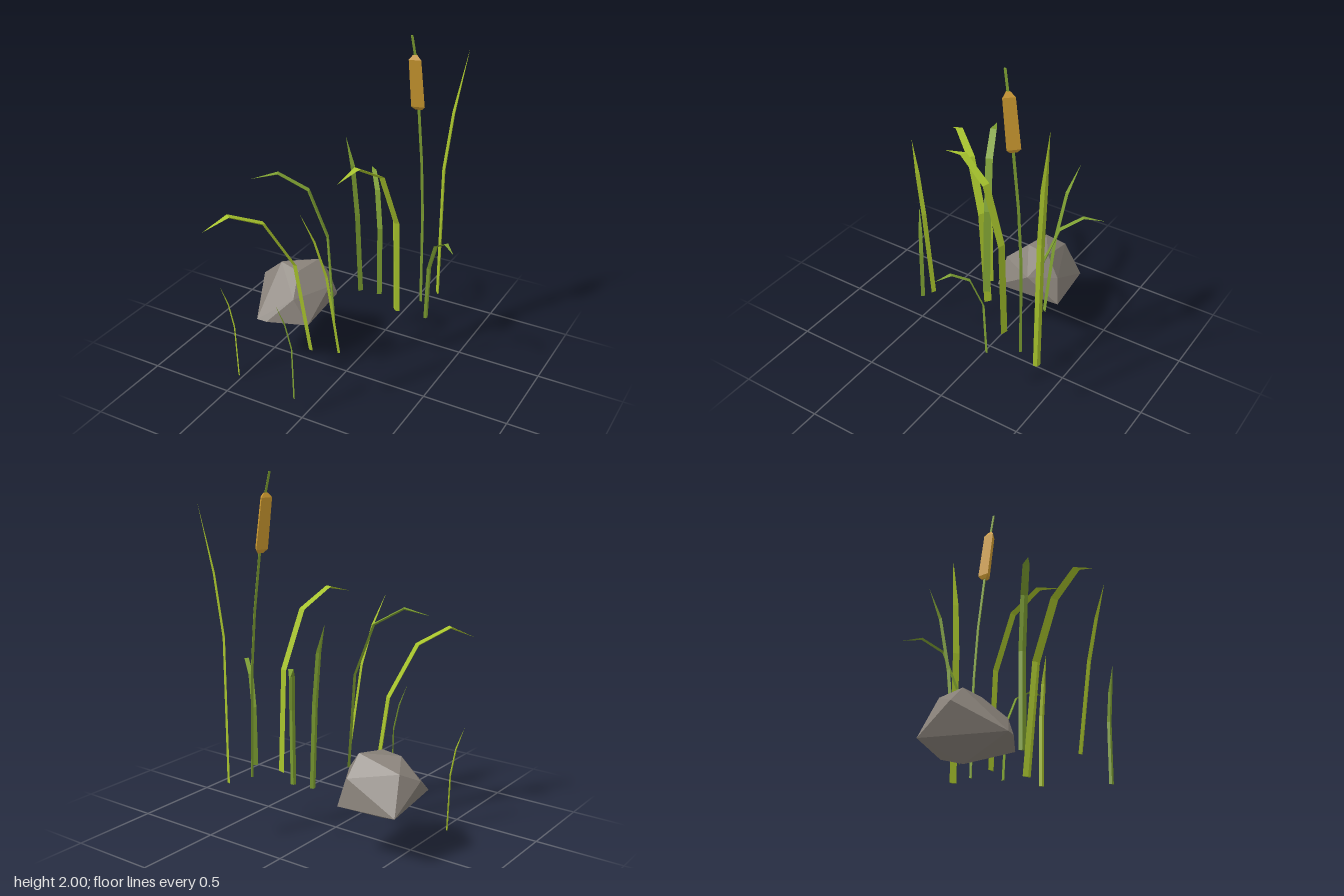
import * as THREE from 'three';
import { ConvexGeometry } from 'three/addons/geometries/ConvexGeometry.js';

const V = (p) => new THREE.Vector3(...p);

function material(name, color) {
  const m = new THREE.MeshStandardMaterial({ color, flatShading: true });
  m.name = name;
  return m;
}

// Skins a closed solid over a list of three-cornered rings
function loft(rings) {
  const pos = [];
  const tri = (...pts) => pts.forEach((p) => pos.push(p.x, p.y, p.z));
  for (let i = 0; i < rings.length - 1; i++) {
    const a = rings[i], b = rings[i + 1];
    for (let k = 0; k < 3; k++) {
      const n = (k + 1) % 3;
      tri(a[k], a[n], b[n]);
      tri(a[k], b[n], b[k]);
    }
  }
  const first = rings[0], last = rings[rings.length - 1];
  tri(first[0], first[2], first[1]);
  tri(last[0], last[1], last[2]);
  const g = new THREE.BufferGeometry();
  g.setAttribute('position', new THREE.Float32BufferAttribute(pos, 3));
  g.computeVertexNormals();
  return g;
}

// Leaf with a flat inner face and a shallow ridge along the outside
function bladeGeometry(width, path) {
  const pts = path.map(V), last = pts.length - 1;
  const lean = pts[last].clone().sub(pts[0]).setY(0).normalize();
  const side = new THREE.Vector3(0, 1, 0).cross(lean);
  return loft(pts.map((p, i) => {
    const t = pts[Math.min(i + 1, last)].clone().sub(pts[Math.max(i - 1, 0)]).normalize();
    const inner = t.cross(side);
    const w = i === last ? 0.0006 : width * (i === last - 1 ? 0.9 : 1);
    return [
      p.clone().addScaledVector(side, w / 2),
      p.clone().addScaledVector(side, -w / 2),
      p.clone().addScaledVector(inner, -w * 0.3),
    ];
  }));
}

// Three-sided rod; each entry is x, y, z, radius
function rodGeometry(path) {
  return loft(path.map(([x, y, z, r]) => [105, 225, 345].map((deg) => {
    const a = THREE.MathUtils.degToRad(deg);
    return new THREE.Vector3(x + r * Math.cos(a), y, z - r * Math.sin(a));
  })));
}

export function createModel() {
  const model = new THREE.Group();
  model.name = 'reedsAndRock';
  const lime = material('limeLeaf', 0xa6c22c);
  const green = material('greenLeaf', 0x7d9f32);
  const brown = material('cattailBrown', 0xcb9830);
  const grey = material('rockGrey', 0x878078);

  const add = (name, geometry, mat) => {
    const mesh = new THREE.Mesh(geometry, mat);
    mesh.name = name;
    model.add(mesh);
  };

  // Leaves: name, material, width, spine from root to tip
  const blades = [
    ['backLeftTallLeaf', lime, 0.04,
      [[0.33, 0.36, -0.515], [0.333, 1.16, -0.518], [0.365, 1.5, -0.545], [0.42, 1.855, -0.597]]],
    ['backDroopingLeaf', green, 0.03,
      [[0.036, 0.36, -0.335], [0.023, 0.785, -0.355], [-0.03, 0.995, -0.42], [-0.105, 1.065, -0.52], [-0.167, 1.04, -0.61]]],
    ['backUprightLeaf', green, 0.032,
      [[-0.08, 0.36, -0.317], [-0.12, 0.84, -0.345], [-0.17, 1.13, -0.378], [-0.238, 1.29, -0.417]]],
    ['forwardBentLeaf', lime, 0.046,
      [[0.205, 0.36, -0.23], [0.2, 0.94, -0.205], [0.165, 1.26, -0.085], [0.115, 1.365, 0.09], [0.075, 1.32, 0.235]]],
    ['leftDroopingLeaf', green, 0.028,
      [[0.387, 0.36, -0.235], [0.4, 0.695, -0.225], [0.455, 0.87, -0.183], [0.54, 0.935, -0.12], [0.607, 0.91, -0.067]]],
    ['rightBentLeaf', green, 0.041,
      [[-0.045, 0.36, 0.053], [-0.075, 0.9, 0.065], [-0.165, 1.185, 0.113], [-0.315, 1.28, 0.183], [-0.445, 1.24, 0.245]]],
    ['frontRightBentLeaf', lime, 0.047,
      [[-0.165, 0.175, 0.122], [-0.213, 0.76, 0.195], [-0.31, 1.05, 0.335], [-0.425, 1.135, 0.495], [-0.515, 1.065, 0.607]]],
    ['frontUprightLeaf', lime, 0.028,
      [[0.125, 0.36, 0.308], [0.095, 0.86, 0.38], [0.06, 1.09, 0.44], [0.015, 1.265, 0.505]]],
    ['smallRightLeaf', lime, 0.024,
      [[-0.527, 0, 0.335], [-0.535, 0.33, 0.342], [-0.555, 0.48, 0.36], [-0.592, 0.605, 0.387]]],
    ['smallFrontLeaf', green, 0.024,
      [[-0.035, 0.13, 0.515], [-0.04, 0.45, 0.518], [-0.065, 0.6, 0.537], [-0.105, 0.73, 0.567]]],
  ];
  for (const [name, mat, width, path] of blades) add(name, bladeGeometry(width, path), mat);

  // Cattail
  add('cattailStem', rodGeometry([
    [0.285, 0.36, -0.385, 0.009], [0.281, 0.94, -0.375, 0.009], [0.275, 1.27, -0.35, 0.009],
    [0.267, 1.58, -0.31, 0.009], [0.256, 1.88, -0.27, 0.008], [0.245, 2, -0.245, 0.008],
  ]), green);
  add('cattailHead', rodGeometry([
    [0.266, 1.583, -0.31, 0.02], [0.265, 1.603, -0.307, 0.042],
    [0.256, 1.868, -0.271, 0.038], [0.255, 1.892, -0.268, 0.014],
  ]), brown);

  // Faceted boulder
  add('rock', new ConvexGeometry([
    [-0.395, 0.2, -0.115],
    [-0.575, 0.295, -0.28], [-0.24, 0.295, -0.315], [-0.21, 0.295, 0.08], [-0.44, 0.295, 0.165], [-0.505, 0.295, 0.165],
    [-0.61, 0.45, -0.09], [-0.19, 0.45, -0.135], [-0.28, 0.45, -0.285], [-0.305, 0.44, 0.08],
    [-0.3, 0.572, -0.205], [-0.345, 0.555, -0.045], [-0.485, 0.56, -0.085], [-0.54, 0.5, -0.185],
  ].map(V)), grey);

  return model;
}
